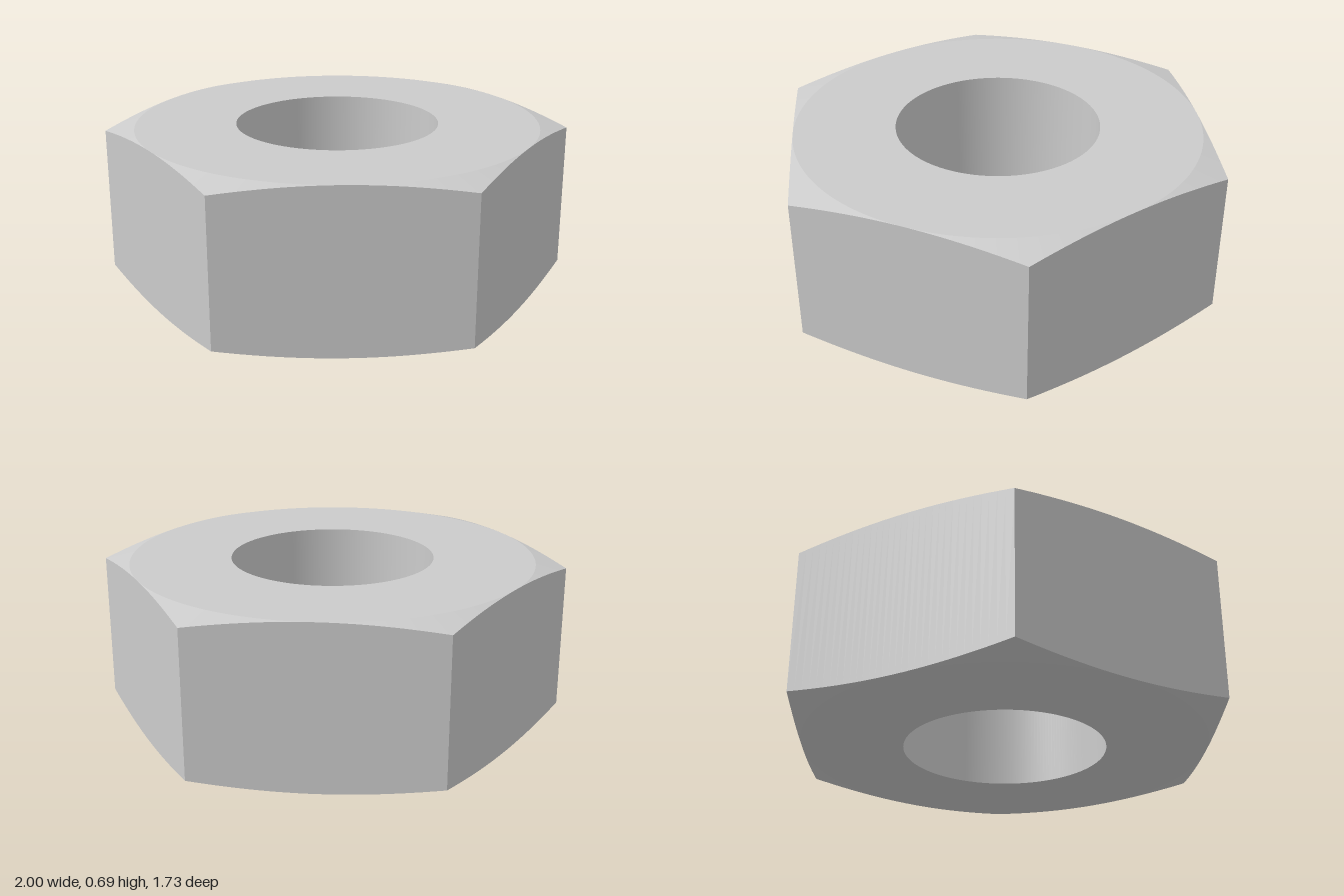
import * as THREE from 'three';

const HEIGHT = 0.695;
const HOLE = 0.435;
const FLAT = Math.sqrt(3) / 2; // centre to flat side, also the chamfer circle
const TILT = Math.PI / 12; // chamfer angle
const SEGMENTS = 192; // a multiple of 6, so that corners are exact
const SIXTH = Math.PI / 3;

// Distance to the hexagon outline, with corners at x = -1 and x = 1
const hexRadius = (a) => FLAT / Math.cos((a % SIXTH) - SIXTH / 2);
const drop = (a) => (hexRadius(a) - FLAT) * Math.tan(TILT);

// Cross-section loops, each giving [radius, height] at an angle
const loops = {
  bottomHole: () => [HOLE, 0],
  bottomRim: () => [FLAT, 0],
  bottomEdge: (a) => [hexRadius(a), drop(a)],
  topEdge: (a) => [hexRadius(a), HEIGHT - drop(a)],
  topRim: () => [FLAT, HEIGHT],
  topHole: () => [HOLE, HEIGHT],
};

// Surface between two loops; normalAt(angle, middle of segment) gives the shading
function band(name, from, to, normalAt, material) {
  const positions = [], normals = [];
  const step = (Math.PI * 2) / SEGMENTS;
  for (let i = 0; i < SEGMENTS; i++) {
    const middle = (i + 0.5) * step;
    const add = (loop, k) => {
      const a = (k % SEGMENTS) * step;
      const [r, y] = loop(a);
      positions.push(r * Math.cos(a), y, r * Math.sin(a));
      normals.push(...normalAt(a, middle));
    };
    add(from, i); add(to, i); add(from, i + 1);
    add(from, i + 1); add(to, i); add(to, i + 1);
  }
  const geometry = new THREE.BufferGeometry();
  geometry.setAttribute('position', new THREE.Float32BufferAttribute(positions, 3));
  geometry.setAttribute('normal', new THREE.Float32BufferAttribute(normals, 3));
  const mesh = new THREE.Mesh(geometry, material);
  mesh.name = name;
  return mesh;
}

export function createModel() {
  const group = new THREE.Group();
  group.name = 'hexNut';
  const material = new THREE.MeshStandardMaterial({ color: 0xcccccc });
  const cone = (sign) => (a) => [
    Math.sin(TILT) * Math.cos(a), sign * Math.cos(TILT), Math.sin(TILT) * Math.sin(a),
  ];
  // One flat normal for each of the six sides
  const side = (a, middle) => {
    const m = (Math.floor(middle / SIXTH) + 0.5) * SIXTH;
    return [Math.cos(m), 0, Math.sin(m)];
  };
  const inward = (a) => [-Math.cos(a), 0, -Math.sin(a)];

  group.add(
    band('bottomFace', loops.bottomHole, loops.bottomRim, () => [0, -1, 0], material),
    band('bottomChamfer', loops.bottomRim, loops.bottomEdge, cone(-1), material),
    band('hexSides', loops.bottomEdge, loops.topEdge, side, material),
    band('topChamfer', loops.topEdge, loops.topRim, cone(1), material),
    band('topFace', loops.topRim, loops.topHole, () => [0, 1, 0], material),
    band('boreWall', loops.topHole, loops.bottomHole, inward, material),
  );
  return group;
}
